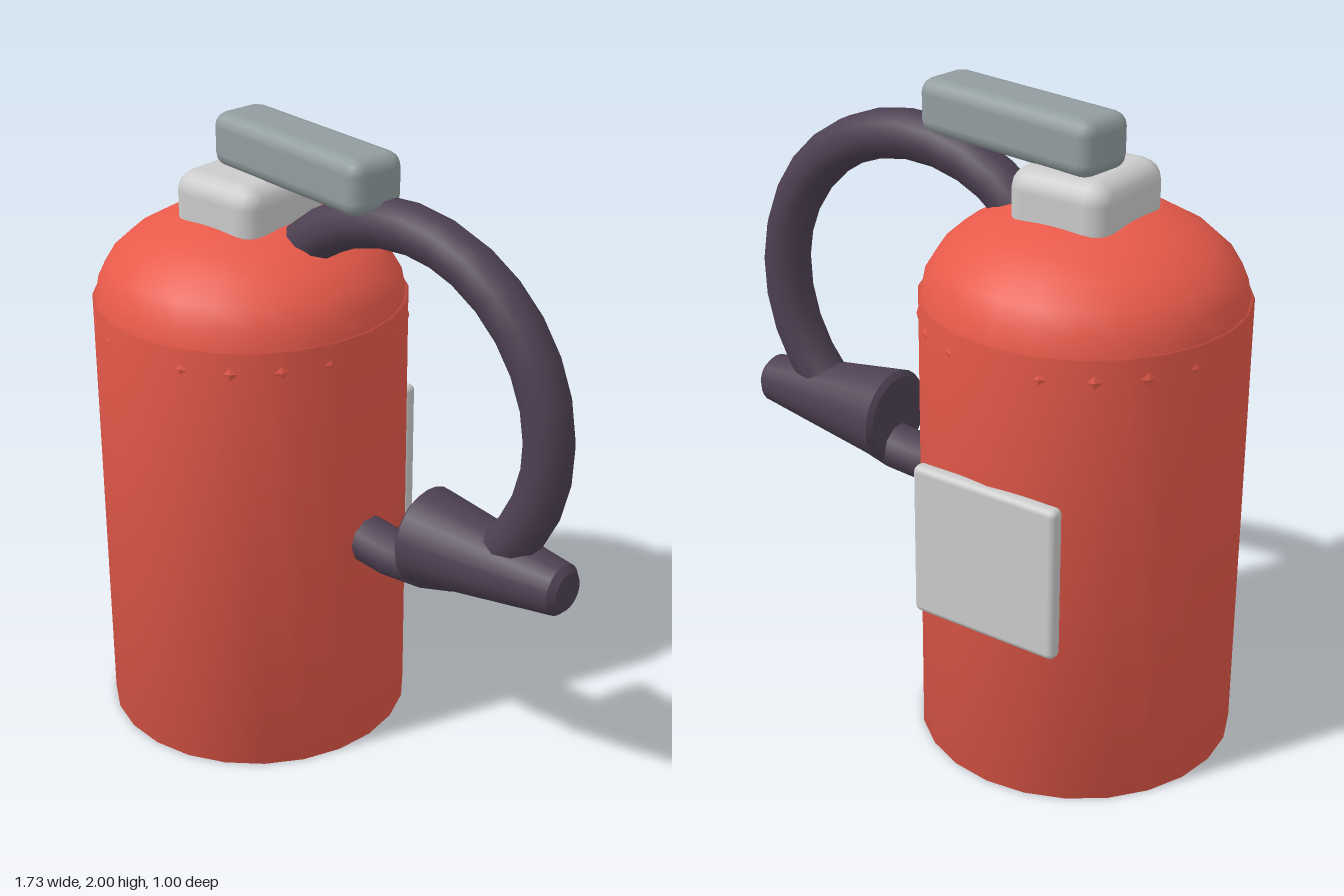
import * as THREE from 'three';
import { RoundedBoxGeometry } from 'three/addons/geometries/RoundedBoxGeometry.js';

const red = new THREE.MeshStandardMaterial({ color: 0xe85a4a });
const rubber = new THREE.MeshStandardMaterial({ color: 0x4d4052 });
const steel = new THREE.MeshStandardMaterial({ color: 0x929d9f });
const grey = new THREE.MeshStandardMaterial({ color: 0xcccccc });

const TANK_X = -0.375, CENTRE_Z = 0.01, TANK_R = 0.49, SIDES = 24;

function add(parent, name, geometry, material, x = 0, y = 0, z = 0) {
  const mesh = new THREE.Mesh(geometry, material);
  mesh.name = name;
  mesh.position.set(x, y, z);
  parent.add(mesh);
  return mesh;
}

const lathe = (points) =>
  new THREE.LatheGeometry(points.map(([r, y]) => new THREE.Vector2(r, y)), SIDES);

// Ring-shaped hose path, given in degrees around a centre
class HoseArc extends THREE.Curve {
  constructor(radius, start, end) {
    super();
    Object.assign(this, { radius, start, end });
  }
  getPoint(t, target = new THREE.Vector3()) {
    const a = THREE.MathUtils.degToRad(this.start + (this.end - this.start) * t);
    return target.set(this.radius * Math.cos(a), this.radius * Math.sin(a), 0);
  }
}

export function createModel() {
  const model = new THREE.Group();
  model.name = 'fireExtinguisher';

  // Tank: straight body with closed bottom and a small step at the top
  add(model, 'tankBody', lathe([[0, 0], [TANK_R, 0], [TANK_R, 1.44], [0.47, 1.44]]), red, TANK_X, 0, CENTRE_Z);

  // Domed shoulder, a flattened half sphere
  const dome = [];
  for (let i = 0; i <= 7; i++) {
    const a = (i / 7) * Math.PI / 2;
    dome.push([0.48 * Math.cos(a), 0.28 * Math.sin(a)]);
  }
  add(model, 'tankDome', lathe(dome), red, TANK_X, 1.44, CENTRE_Z);

  // Diamond rivets around the rim, with gaps at the four quarters
  const rivets = new THREE.Group();
  rivets.name = 'rivets';
  rivets.position.set(TANK_X, 1.375, CENTRE_Z);
  model.add(rivets);
  const rivetShape = new THREE.OctahedronGeometry(1).scale(0.025, 0.025, 0.007);
  for (let i = 0; i < 20; i++) {
    if (i % 5 === 0) continue;
    const a = (i / 20) * Math.PI * 2;
    const rivet = add(rivets, 'rivet', rivetShape, red, 0.485 * Math.sin(a), 0, 0.485 * Math.cos(a));
    rivet.rotation.y = a;
  }

  // Valve block and the slightly turned lever on top of it
  add(model, 'valveBlock', new RoundedBoxGeometry(0.335, 0.21, 0.355, 2, 0.065), grey, -0.372, 1.735, 0.008);
  const lever = add(model, 'lever', new RoundedBoxGeometry(0.665, 0.17, 0.195, 2, 0.045), steel, -0.15, 1.915, 0.002);
  lever.rotation.y = -0.138;

  // Hose: from the dome, round the side and back into the tank wall
  add(model, 'hose', new THREE.TubeGeometry(new HoseArc(0.54, -116, 146), 22, 0.077, 10), rubber, 0.23, 1.26, CENTRE_Z);

  // Horn: wide end towards the tank, small bevels on both rims
  const horn = add(model, 'horn', new THREE.Group().isGroup && lathe([
    [0, 0], [0.135, 0], [0.135, 0], [0.152, 0.015], [0.152, 0.015],
    [0.08, 0.515], [0.08, 0.515], [0.06, 0.535], [0.06, 0.535], [0, 0.535],
  ]), rubber, 0.325, 0.837, CENTRE_Z);
  horn.rotation.z = -Math.PI / 2;

  // Plate on the back of the tank
  add(model, 'backPlate', new RoundedBoxGeometry(0.495, 0.485, 0.05, 2, 0.02), grey, -0.372, 0.77, -0.48);

  return model;
}
